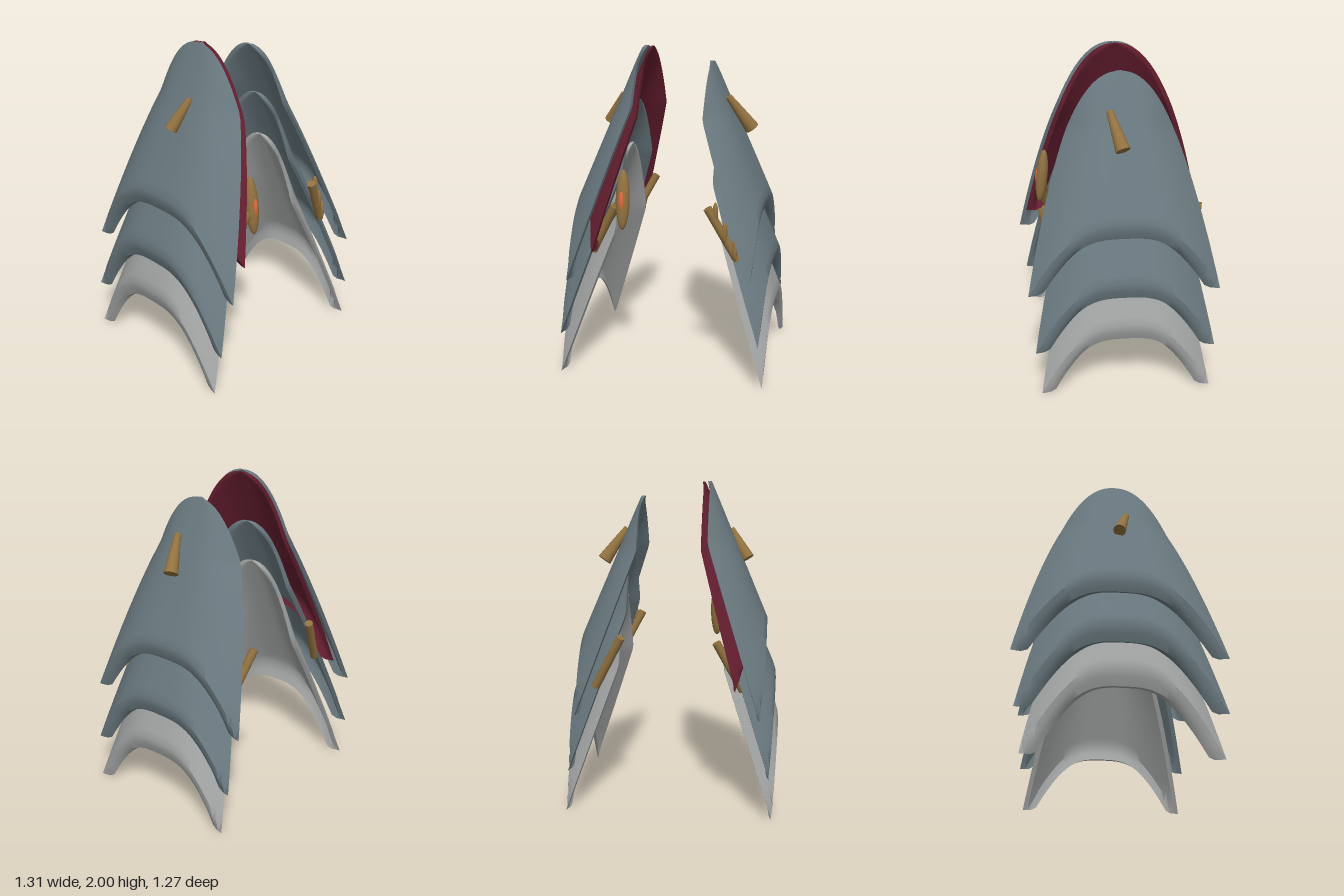
import * as THREE from 'three';
import { toCreasedNormals } from 'three/addons/utils/BufferGeometryUtils.js';

const material = (name, color) => {
  const m = new THREE.MeshStandardMaterial({ color });
  m.name = name;
  return m;
};

// Arched armour plate: a closed shell swept from the crown down to an arched hem.
// top/knee: heights of crown and of the point where the rim starts to slope outwards
// corner: [x, y] end of the ridge, foot: [x, y] of the two lower tips, hem: arch height
function plateGeometry(side, { top, topX, knee, corner, foot, hem, width, thick = 0.022, shift = 0 }) {
  const N = 36, R = 36, ring = 2 * (N + 1);
  const lerp = THREE.MathUtils.lerp;
  const pos = [], idx = [];

  const point = (s, t, inner) => {
    const a = Math.abs(s);
    const end = lerp(hem, foot[1], Math.min(1, a / 0.9) ** 3.2);
    const y = lerp(top, end, t * t);
    const h = Math.max(1e-5, (top - y) / (top - foot[1]));
    const w = width * h ** 0.45;
    const ridge = lerp(topX, corner[0], (top - y) / (top - corner[1]));
    const rim = y > knee ? topX : lerp(topX, foot[0], (knee - y) / (knee - foot[1]));
    const limit = lerp(corner[0], foot[0], Math.max(0, (corner[1] - y) / (corner[1] - foot[1])));
    let x = Math.min(rim + Math.max(0, ridge - rim) * (1 - a ** 3), limit);
    // hem rolls inwards
    x -= 0.025 * Math.max(0, (t - 0.94) / 0.06) ** 2 * (1 - a ** 4);
    let z = s * w;
    if (inner) {
      x -= thick * (1 - 0.8 * a ** 6);
      z *= 1 - Math.min(0.3, 0.03 / Math.max(w, 0.05));
    }
    pos.push(side * x, y, z + shift);
  };

  const quad = (a, b, c, d) => {
    if (side > 0) idx.push(a, b, c, a, c, d);
    else idx.push(a, c, b, a, d, c);
  };

  for (let r = 0; r <= R; r++) {
    for (let i = 0; i <= N; i++) point(2 * i / N - 1, r / R, false);
    for (let i = N; i >= 0; i--) point(2 * i / N - 1, r / R, true);
  }
  for (let r = 0; r < R; r++)
    for (let i = 0; i < ring; i++) {
      const j = (i + 1) % ring;
      quad(r * ring + i, r * ring + j, (r + 1) * ring + j, (r + 1) * ring + i);
    }
  const o = R * ring;
  for (let i = 0; i < N; i++) quad(o + i, o + i + 1, o + ring - 2 - i, o + ring - 1 - i);

  const g = new THREE.BufferGeometry();
  g.setAttribute('position', new THREE.Float32BufferAttribute(pos, 3));
  g.setIndex(idx);
  return toCreasedNormals(g, 0.7);
}

export function createModel() {
  const model = new THREE.Group();
  model.name = 'hipArmour';
  const steel = material('blue grey steel', 0x6a7a80);
  const silver = material('light grey steel', 0xa3a5a5);
  const lining = material('dark red lining', 0x651e2f);
  const brass = material('brass', 0x92723f);
  const amber = material('amber', 0xe0683a);

  const add = (name, geometry, mat, parent = model) => {
    const mesh = new THREE.Mesh(geometry, mat);
    mesh.name = name;
    parent.add(mesh);
    return mesh;
  };

  // Tapered rod between two points
  const rod = (name, from, to, r0, r1, parent) => {
    const a = new THREE.Vector3(...from), b = new THREE.Vector3(...to);
    const d = b.clone().sub(a);
    const mesh = add(name, new THREE.CylinderGeometry(r1, r0, d.length(), 20), brass, parent);
    mesh.position.copy(a).add(b).multiplyScalar(0.5);
    mesh.quaternion.setFromUnitVectors(new THREE.Vector3(0, 1, 0), d.normalize());
    return mesh;
  };

  const ellipsoid = (name, p, scale, mat, parent) => {
    const mesh = add(name, new THREE.SphereGeometry(1, 24, 16), mat, parent);
    mesh.position.set(...p);
    mesh.scale.set(...scale);
    return mesh;
  };

  // Three overlapping plates on each side, from upper to lower
  const left = new THREE.Group(), right = new THREE.Group();
  left.name = 'leftPlates';
  right.name = 'rightPlates';
  model.add(left, right);
  const names = ['upperPlate', 'middlePlate', 'lowerPlate'];
  const mats = [steel, steel, silver];
  const leftSpecs = [
    { top: 1.91, topX: 0.22, knee: 1.58, corner: [0.58, 1.07], foot: [0.56, 0.63], hem: 0.98, width: 0.583 },
    { top: 1.58, topX: 0.285, knee: 1.2, corner: [0.64, 0.72], foot: [0.615, 0.27], hem: 0.62, width: 0.55 },
    { top: 1.28, topX: 0.335, knee: 0.87, corner: [0.655, 0.45], foot: [0.64, 0], hem: 0.35, width: 0.52 },
  ];
  const rightSpecs = [
    { top: 2.0, topX: 0.215, knee: 1.64, corner: [0.585, 1.12], foot: [0.545, 0.63], hem: 1.03, width: 0.635 },
    { top: 1.66, topX: 0.27, knee: 1.27, corner: [0.64, 0.8], foot: [0.605, 0.27], hem: 0.68, width: 0.6 },
    { top: 1.38, topX: 0.32, knee: 0.88, corner: [0.66, 0.52], foot: [0.625, 0], hem: 0.4, width: 0.56 },
  ];
  names.forEach((name, i) => {
    add(name, plateGeometry(1, leftSpecs[i]), mats[i], left);
    add(name, plateGeometry(-1, rightSpecs[i]), mats[i], right);
  });

  // Red lining inside the right upper plate
  add('lining', plateGeometry(-1, {
    top: 1.995, topX: 0.178, knee: 1.6, corner: [0.52, 1.15], foot: [0.4, 0.8],
    hem: 1.08, width: 0.595, thick: 0.016, shift: -0.012,
  }), lining, right);

  // Outer pegs
  rod('outerPeg', [0.33, 1.7, 0.07], [0.47, 1.5, 0.005], 0.02, 0.045, left);
  rod('outerPeg', [-0.34, 1.7, 0.06], [-0.45, 1.52, 0.005], 0.02, 0.04, right);

  // Inner struts at the front and back of each side
  for (const z of [1, -1]) {
    rod('innerStrut', [0.29, 1.09, 0.48 * z], [0.46, 0.77, 0.42 * z], 0.026, 0.026, left);
    rod('innerStrut', [-0.28, 1.07, 0.48 * z], [-0.44, 0.77, 0.43 * z], 0.026, 0.026, right);
  }

  // Small hooks along the left front strut
  [[0.335, 1.06, 0.47], [0.39, 0.94, 0.46], [0.45, 0.83, 0.44]].forEach((p) =>
    ellipsoid('strutHook', p, [0.016, 0.065, 0.022], brass, left));

  // Oval clasp with an amber inset, leaning slightly
  const clasp = new THREE.Group();
  clasp.name = 'clasp';
  clasp.position.set(-0.232, 1.11, 0.47);
  clasp.rotation.x = -0.12;
  right.add(clasp);
  ellipsoid('claspBody', [0, 0, 0], [0.042, 0.182, 0.038], brass, clasp);
  ellipsoid('claspInset', [0, 0, 0.022], [0.02, 0.068, 0.022], amber, clasp);
  rod('claspStem', [-0.03, -0.03, -0.01], [-0.12, -0.16, -0.03], 0.026, 0.026, clasp);

  return model;
}
